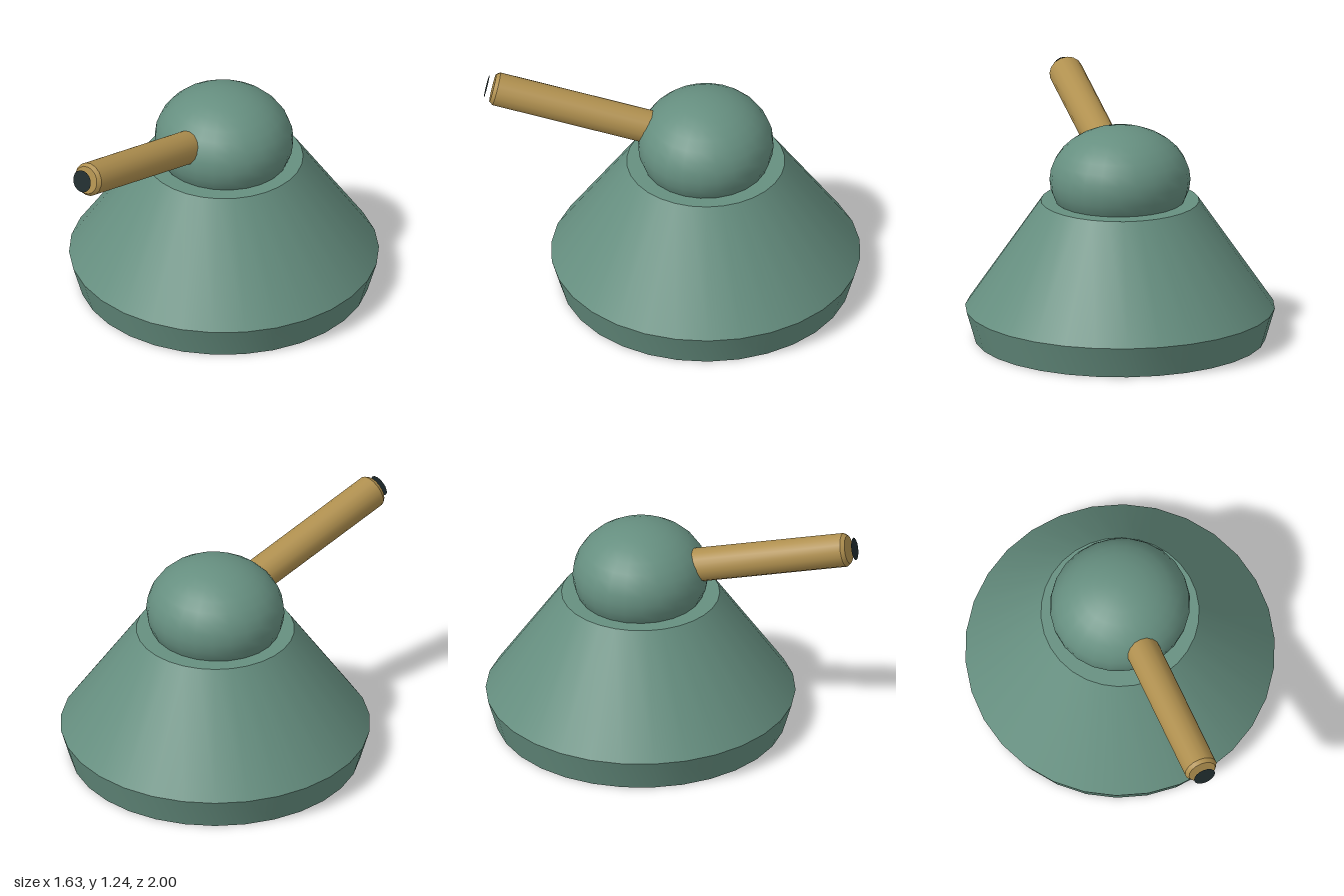
import * as THREE from 'three';
import { toCreasedNormals } from 'three/addons/utils/BufferGeometryUtils.js';

const CENTER_Z = -0.18;   // turret axis
const ELEVATION = 0.237;  // upward tilt of the gun, radians

const material = (name, color, side = THREE.FrontSide) => {
  const m = new THREE.MeshStandardMaterial({ color, side });
  m.name = name;
  return m;
};

// Closed revolved solid from [radius, height] pairs, with crisp rims
const turned = (points, segments) => toCreasedNormals(
  new THREE.LatheGeometry(points.map(([r, y]) => new THREE.Vector2(r, y)), segments), 0.5);

const part = (parent, name, geometry, mat) => {
  const mesh = new THREE.Mesh(geometry, mat);
  mesh.name = name;
  parent.add(mesh);
  return mesh;
};

export function createModel() {
  const model = new THREE.Group();
  model.name = 'gunTurret';
  const green = material('armour green', 0x668f80);
  const brass = material('barrel brass', 0xb0904f);
  const dark = material('bore dark', 0x202c2e, THREE.DoubleSide);

  // Conical base with an undercut foot
  const base = part(model, 'base', turned(
    [[0, 0], [0.77, 0], [0.82, 0.17], [0.419, 0.755], [0, 0.755]], 30), green);
  base.position.z = CENTER_Z;

  // Flattened dome sunk into the top of the base
  const dome = part(model, 'dome', new THREE.SphereGeometry(1, 24, 16), green);
  dome.scale.set(0.374, 0.285, 0.36);
  dome.position.set(0, 0.87, CENTER_Z);

  // Gun group: local +y runs along the barrel, origin at its tip
  const gun = new THREE.Group();
  gun.name = 'gun';
  gun.position.set(0, 1.158, 0.951);
  gun.rotation.x = Math.PI / 2 - ELEVATION;
  model.add(gun);

  // Barrel with a chamfered muzzle
  part(gun, 'barrel', turned(
    [[0, -0.95], [0.09, -0.95], [0.09, -0.02], [0.075, 0], [0, 0]], 16), brass);

  // Bore disc just ahead of the muzzle
  const bore = part(gun, 'bore', new THREE.CircleGeometry(0.06, 16), dark);
  bore.rotation.x = -Math.PI / 2;
  bore.position.y = 0.033;

  return model;
}
